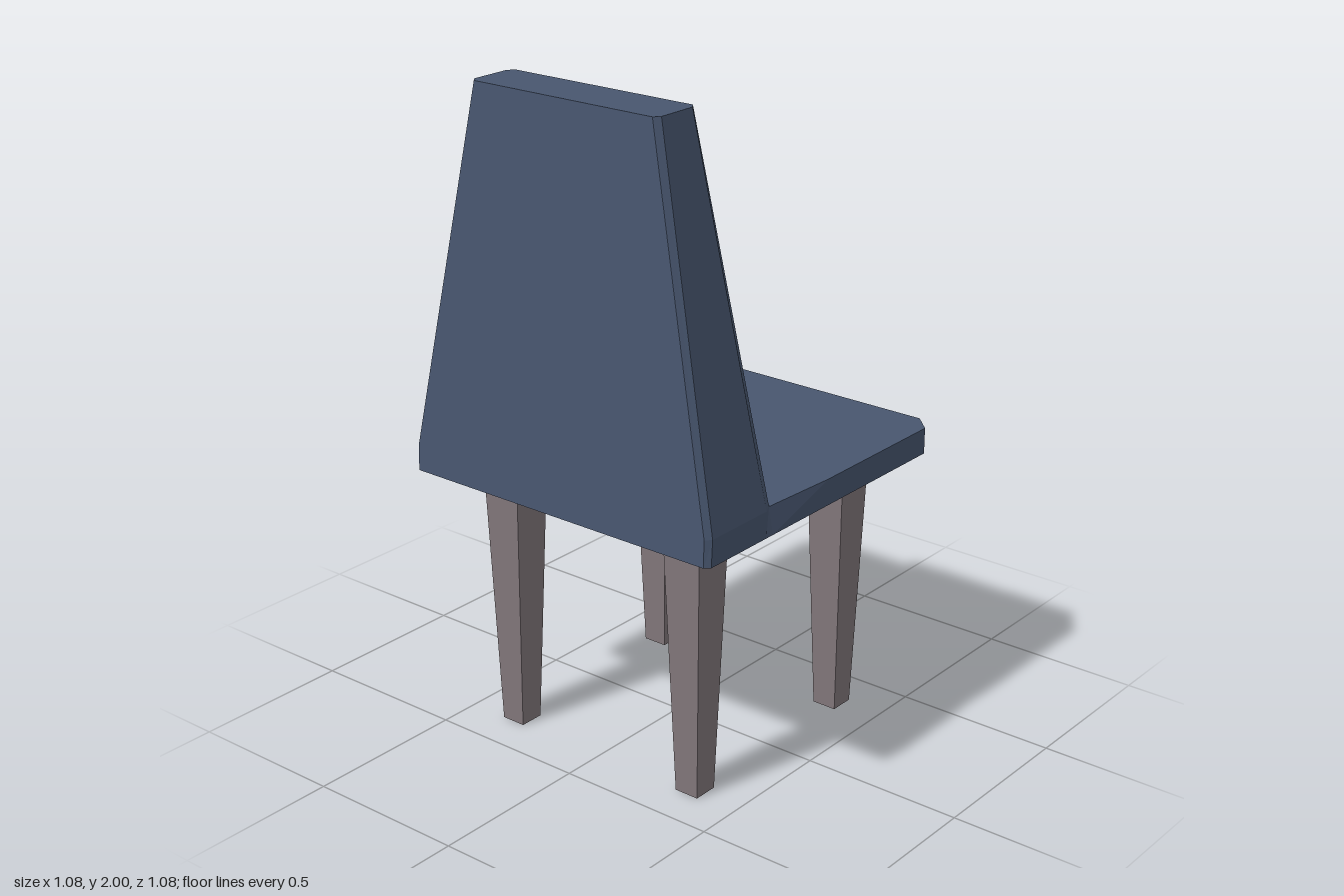
import * as THREE from 'three';

const fabric = new THREE.MeshStandardMaterial({ color: 0x48566f });
fabric.name = 'slate blue fabric';
const wood = new THREE.MeshStandardMaterial({ color: 0x82777b });
wood.name = 'grey brown wood';

// Closed outline at height y from its +x half, listed as [x, z] by rising z
function outline(half, y) {
  const right = half.map(([x, z]) => new THREE.Vector3(x, y, z));
  const left = half.map(([x, z]) => new THREE.Vector3(-x, y, z)).reverse();
  return [...right, ...left];
}

// Flat horizontal face, facing up or down
function cap(loop, up) {
  const flat = loop.map((p) => new THREE.Vector2(p.x, p.z));
  const out = [];
  for (const [a, b, c] of THREE.ShapeUtils.triangulateShape(flat, [])) {
    const facesUp = THREE.ShapeUtils.area([flat[a], flat[b], flat[c]]) < 0;
    out.push(...(facesUp === up ? [a, b, c] : [a, c, b]).map((i) => loop[i]));
  }
  return out;
}

// Side walls between two outlines
function walls(low, high) {
  const out = [];
  low.forEach((a, i) => {
    const j = (i + 1) % low.length;
    out.push(a, high[i], low[j], low[j], high[i], high[j]);
  });
  return out;
}

function facetedMesh(name, points) {
  const geometry = new THREE.BufferGeometry().setFromPoints(points);
  geometry.computeVertexNormals();
  const mesh = new THREE.Mesh(geometry, fabric);
  mesh.name = name;
  return mesh;
}

export function createModel() {
  const group = new THREE.Group();
  group.name = 'chair';

  // Seat slab: clipped front corners, slight pinch where the back begins
  const under = outline([[0.485, -0.54], [0.54, -0.485], [0.54, 0], [0.54, 0.255],
    [0.54, 0.285], [0.54, 0.525], [0.525, 0.54]], 0.83);
  const rim = outline([[0.485, -0.54], [0.54, -0.485], [0.54, 0], [0.525, 0.255],
    [0.54, 0.285], [0.54, 0.52], [0.525, 0.537]], 0.91);
  const seatTop = outline([[0.485, -0.54], [0.54, -0.485], [0.54, 0],
    [0.525, 0.255], [0.27, 0.27]], 0.91);
  group.add(facetedMesh('seat', [
    ...cap(under, false), ...walls(under, rim), ...cap(seatTop, true),
  ]));

  // Tapered backrest with chamfered corners
  const backLow = outline([[0.27, 0.27], [0.525, 0.255], [0.54, 0.285],
    [0.54, 0.52], [0.525, 0.537]], 0.91);
  const backHigh = outline([[0.16, 0.32], [0.31, 0.32], [0.325, 0.34],
    [0.325, 0.465], [0.31, 0.483]], 2);
  group.add(facetedMesh('backrest', [...walls(backLow, backHigh), ...cap(backHigh, true)]));

  // Four tapered square legs with dark foot pads
  const legGeometry = new THREE.CylinderGeometry(
    0.13 * Math.SQRT1_2, 0.078 * Math.SQRT1_2, 0.83, 4, 1, false, Math.PI / 4).toNonIndexed();
  legGeometry.computeVertexNormals();
  for (const x of [-1, 1]) {
    for (const z of [-1, 1]) {
      const leg = new THREE.Mesh(legGeometry, [wood, wood, fabric]);
      leg.name = `${z > 0 ? 'back' : 'front'}Leg${x > 0 ? 'Left' : 'Right'}`;
      leg.position.set(x * 0.336, 0.415, z * 0.336);
      group.add(leg);
    }
  }
  return group;
}
